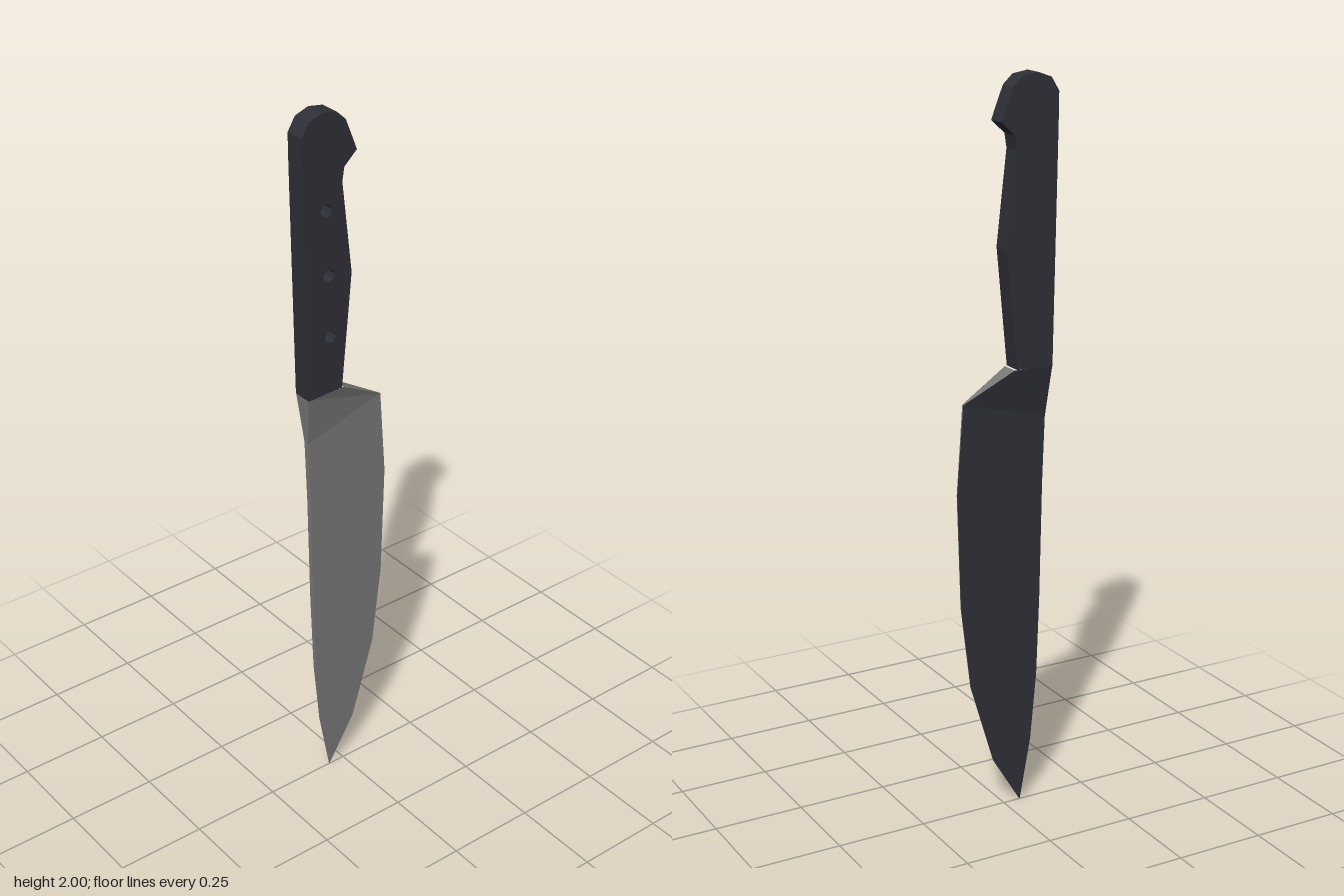
import * as THREE from 'three';

export function createModel() {
  const model = new THREE.Group();
  model.name = 'kitchenKnife';
  const dark = new THREE.MeshStandardMaterial({ name: 'charcoal', color: 0x2f2f38, flatShading: true });
  const steel = new THREE.MeshStandardMaterial({ name: 'steelGrey', color: 0x7a7a7a, flatShading: true });

  const add = (name, geometry, material, z = 0) => {
    const mesh = new THREE.Mesh(geometry, material);
    mesh.name = name;
    mesh.position.z = z;
    model.add(mesh);
    return mesh;
  };

  // Handle outline: straight spine, rounded butt, hooked pommel and a belly
  const outline = [
    [-0.13, 1.238], [-0.024, 1.243], [0.006, 1.56], [-0.023, 1.81], [-0.017, 1.847],
    [0.021, 1.882], [0.004, 1.926], [-0.013, 1.968], [-0.04, 1.993], [-0.083, 2.0],
    [-0.122, 1.986], [-0.144, 1.95], [-0.143, 1.87],
  ].map(([x, y]) => new THREE.Vector2(x, y));
  const rivets = [[-0.071, 1.746], [-0.064, 1.571], [-0.06, 1.4]];
  const rivetRadius = 0.018;
  const slab = (withHoles, depth) => {
    const shape = new THREE.Shape(outline);
    if (withHoles) {
      for (const [x, y] of rivets) {
        const hole = [];
        for (let i = 0; i < 8; i++) {
          const a = -i * Math.PI / 4;
          hole.push(new THREE.Vector2(x + rivetRadius * Math.cos(a), y + rivetRadius * Math.sin(a)));
        }
        shape.holes.push(new THREE.Path(hole));
      }
    }
    return new THREE.ExtrudeGeometry(shape, { depth, bevelEnabled: false });
  };
  add('handleFront', slab(true, 0.046), dark, -0.019);
  add('handleBack', slab(false, 0.008), dark, -0.027);

  // Rivets sit deep in their holes
  for (const [x, y] of rivets) {
    const rivet = add('rivet', new THREE.CircleGeometry(rivetRadius, 8), steel, -0.018);
    rivet.position.set(x, y, -0.018);
  }

  // Blade stations: spine x, y, half thickness, then edge x, y, half thickness
  const stations = [
    [-0.13, 1.24, 0.026, -0.018, 1.242, 0.026],
    [-0.119, 1.1, 0.008, 0.121, 1.163, 0.003],
    [-0.112, 0.92, 0.008, 0.14, 0.92, 0.001],
    [-0.106, 0.6, 0.007, 0.131, 0.603, 0.001],
    [-0.098, 0.37, 0.006, 0.103, 0.37, 0.001],
    [-0.081, 0.18, 0.004, 0.034, 0.138, 0.001],
    [-0.05, 0.0, 0.0005, -0.049, 0.0, 0.0005],
  ];
  // Corners of one station: spine front, edge front, edge back, spine back
  const ring = ([sx, sy, st, ex, ey, et]) => [[sx, sy, st], [ex, ey, et], [ex, ey, -et], [sx, sy, -st]];
  const strip = (side) => {
    const positions = [];
    for (let i = 0; i < stations.length - 1; i++) {
      const upper = ring(stations[i]);
      const lower = ring(stations[i + 1]);
      const next = (side + 1) % 4;
      const [a, b, c, d] = [upper[side], lower[side], lower[next], upper[next]];
      positions.push(...a, ...b, ...c, ...a, ...c, ...d);
    }
    const geometry = new THREE.BufferGeometry();
    geometry.setAttribute('position', new THREE.Float32BufferAttribute(positions, 3));
    geometry.computeVertexNormals();
    return geometry;
  };
  add('bladeFront', strip(0), steel);
  add('bladeEdge', strip(1), steel);
  add('bladeBack', strip(2), dark);
  add('bladeSpine', strip(3), steel);

  return model;
}
